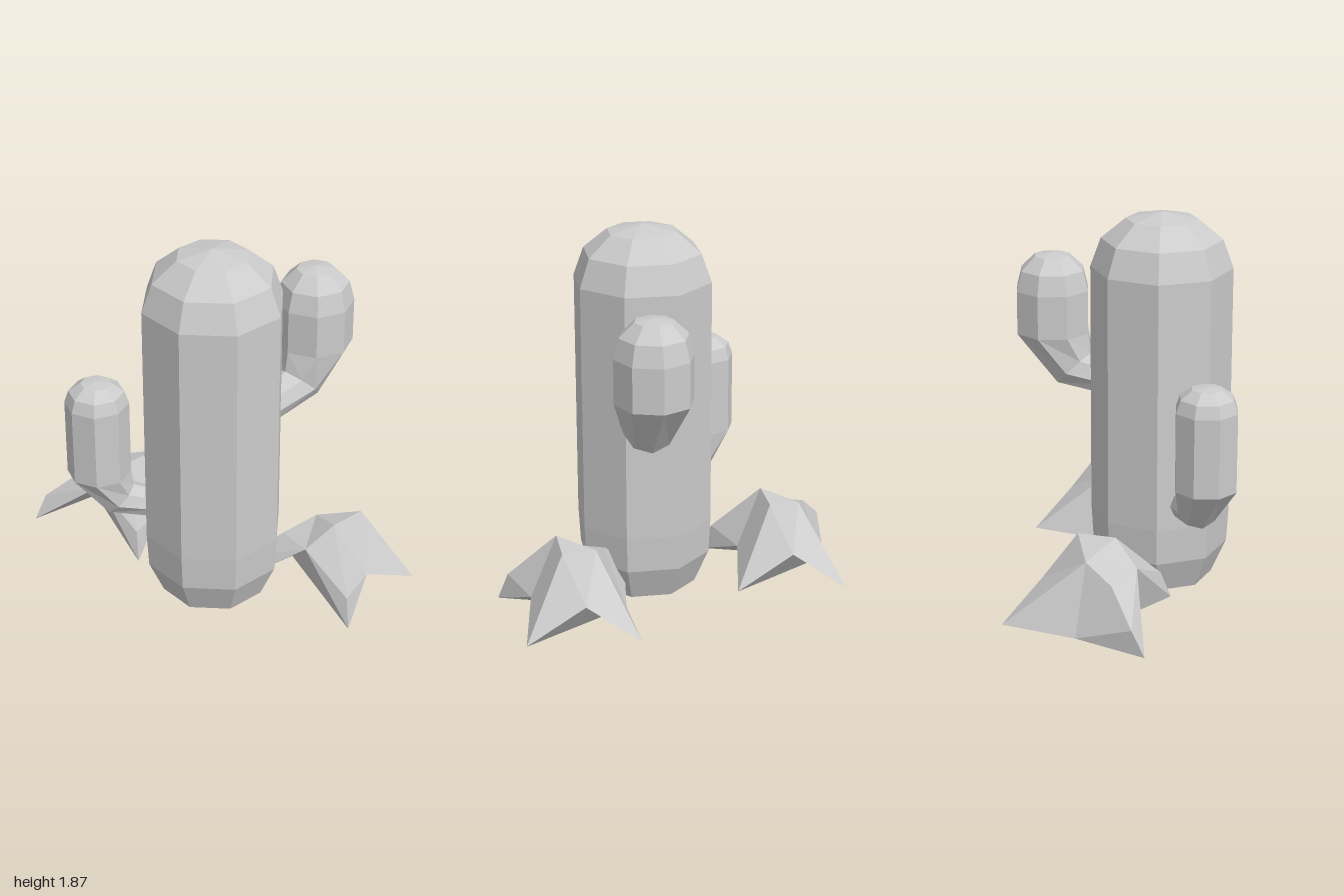
import * as THREE from 'three';

const material = new THREE.MeshStandardMaterial({ color: 0xcccccc, flatShading: true });

function facetedMesh(points, name) {
  const geometry = new THREE.BufferGeometry().setFromPoints(points);
  geometry.computeVertexNormals();
  const mesh = new THREE.Mesh(geometry, material);
  mesh.name = name;
  return mesh;
}

// Eight-sided trunk with a tapered foot and a domed top
function createTrunk() {
  const profile = [[0, 0], [0.262, 0], [0.336, 0.17], [0.346, 0.35], [0.346, 1.59],
    [0.295, 1.73], [0.175, 1.83], [0, 1.865]].map(([r, y]) => new THREE.Vector2(r, y));
  const mesh = new THREE.Mesh(new THREE.LatheGeometry(profile, 8), material);
  mesh.name = 'trunk';
  mesh.position.set(0.055, 0, 0.205);
  mesh.rotation.y = -0.07;
  return mesh;
}

// Bent arm: octagonal rings swept from the trunk, around the elbow and up to a dome.
// Local +x points towards the trunk, y = 0 is the start of the upright shaft.
function createArm(name, size, shaft, dome) {
  const s = size, top = shaft;
  const rings = [ // x, y, radius, tilt
    [0.345 * s, -0.225 * s, 0, Math.PI / 2],
    [0.345 * s, -0.225 * s, 0.09 * s, Math.PI / 2],
    [0.12 * s, -0.185 * s, 0.122 * s, Math.PI / 4],
    [0, 0, 0.192 * s, 0],
    [0, top, 0.192 * s, 0],
    [0, top + dome * 0.54, 0.166 * s, 0],
    [0, top + dome * 0.92, 0.093 * s, 0],
    [0, top + dome, 0, 0],
  ].map(([x, y, r, tilt]) => Array.from({ length: 8 }, (_, i) => {
    const a = (i / 8) * Math.PI * 2;
    const u = r * Math.cos(a);
    return new THREE.Vector3(x + u * Math.cos(tilt), y + u * Math.sin(tilt), r * Math.sin(a));
  }));
  const points = [];
  for (let k = 0; k < rings.length - 1; k++) {
    const p = rings[k], q = rings[k + 1];
    for (let i = 0; i < 8; i++) {
      const j = (i + 1) % 8;
      if (k < rings.length - 2) points.push(p[i], q[i], q[j]);
      if (k > 0) points.push(p[i], q[j], p[j]);
    }
  }
  return facetedMesh(points, name);
}

// Jagged four-pointed rock: ground tips, raised notches between them, and peaks
function createRock(name) {
  const v = {
    tipA: [-0.65, 0.03, -0.56], tipB: [-0.18, 0.03, -0.28],
    tipC: [-0.34, 0.03, 0.25], tipD: [-1.0, 0.03, 0.11],
    nAB: [-0.46, 0.19, -0.37], nBC: [-0.35, 0.15, -0.05],
    nCD: [-0.63, 0.31, 0.08], nDA: [-0.8, 0.03, -0.21],
    spurC: [-0.37, 0.17, 0.2], spurD: [-0.965, 0.15, 0.05],
    p0: [-0.66, 0.355, -0.16], p1: [-0.52, 0.42, -0.02],
    p2: [-0.44, 0.41, -0.2], p3: [-0.79, 0.29, -0.04],
  };
  const upper = [
    'tipA nAB p0', 'nAB p2 p0', 'nAB tipB p2', 'tipB nBC p2', 'nBC p1 p2', 'p2 p1 p0',
    'nBC tipC spurC', 'nBC spurC p1', 'tipC nCD spurC', 'spurC nCD p1', 'nCD p0 p1',
    'nCD p3 p0', 'nCD spurD p3', 'nCD tipD spurD', 'tipD nDA spurD', 'spurD nDA p3',
    'nDA p0 p3', 'nDA tipA p0',
  ];
  const underside = [
    'tipC nCD nDA', 'nCD tipD nDA', 'nDA tipA nAB', 'nDA nAB tipB', 'nDA tipB nBC', 'nDA nBC tipC',
  ];
  const corners = (face) => face.split(' ').map((key) => new THREE.Vector3(...v[key]));
  const points = [
    ...upper.flatMap((face) => corners(face).reverse()),
    ...underside.flatMap(corners),
  ];
  return facetedMesh(points, name);
}

export function createModel() {
  const model = new THREE.Group();
  model.name = 'cactus';
  model.add(createTrunk());

  // Low arm on the right, high arm at the back
  const lowArm = createArm('lowArm', 0.81, 0.39, 0.115);
  lowArm.position.set(-0.465, 0.65, 0.405);
  lowArm.rotation.y = 0.367;
  const highArm = createArm('highArm', 1, 0.22, 0.185);
  highArm.position.set(0.367, 1.18, -0.333);
  highArm.rotation.y = Math.atan2(-0.93, -0.36);
  model.add(lowArm, highArm);

  // Matching rocks on both sides
  const leftRock = createRock('leftRock');
  leftRock.position.set(1.17, 0, 0.118);
  model.add(createRock('rightRock'), leftRock);
  return model;
}
